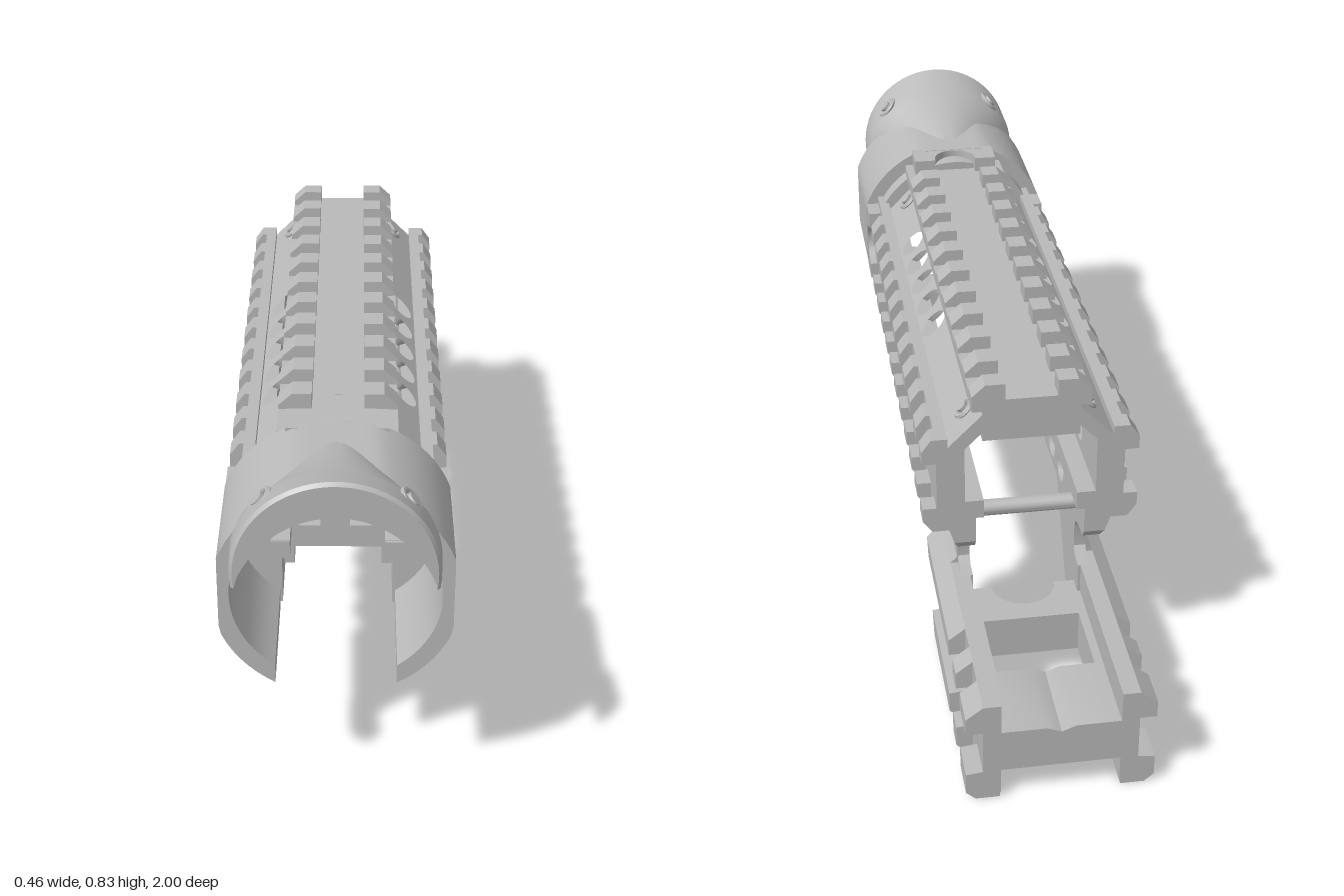
import * as THREE from 'three';
import { toCreasedNormals } from 'three/addons/utils/BufferGeometryUtils.js';

const metal = new THREE.MeshStandardMaterial({ color: 0xb9b9b9 });
metal.name = 'grey metal';

const PITCH = 0.107, FRONT = 0.635, REAR = -0.61;
const series = (n, start, step) => Array.from({ length: n }, (_, i) => start + i * step);

function extrude(points, depth, holes = []) {
  const shape = new THREE.Shape(points.map(([x, y]) => new THREE.Vector2(x, y)));
  for (const [x, y, r] of holes) {
    const hole = new THREE.Path();
    hole.absarc(x, y, r, 0, Math.PI * 2, true);
    shape.holes.push(hole);
  }
  return new THREE.ExtrudeGeometry(shape, { depth, bevelEnabled: false, curveSegments: 12 });
}

// Plate drawn in (z, y) and given thickness from x0 to x1
function sidePlate(points, holes, x0, x1) {
  return extrude(points.map(([z, y]) => [-z, y]), x1 - x0, holes.map(([z, y, r]) => [-z, y, r]))
    .rotateY(Math.PI / 2).translate(x0, 0, 0);
}

// Profile drawn in (x, y) running from z0 to z1
const bar = (points, z0, z1) => extrude(points, z1 - z0).translate(0, 0, z0);
const rect = (a0, b0, a1, b1) => [[a0, b0], [a1, b0], [a1, b1], [a0, b1]];

// Mirror across x = 0 and restore the corner order
function mirrored(geometry) {
  const g = geometry.index ? geometry.toNonIndexed() : geometry.clone();
  g.scale(-1, 1, 1);
  const p = g.attributes.position;
  const a = new THREE.Vector3(), b = new THREE.Vector3();
  for (let i = 0; i < p.count; i += 3) {
    a.fromBufferAttribute(p, i + 1);
    b.fromBufferAttribute(p, i + 2);
    p.setXYZ(i + 1, b.x, b.y, b.z);
    p.setXYZ(i + 2, a.x, a.y, a.z);
  }
  return g;
}

function add(group, name, geometry) {
  const mesh = new THREE.Mesh(toCreasedNormals(geometry, 0.5), metal);
  mesh.name = name;
  group.add(mesh);
}

function addPair(group, name, geometry) {
  add(group, name + 'Left', geometry);
  add(group, name + 'Right', mirrored(geometry));
}

// Toothed rail facing +x, its base surface at x = 0
function railParts(half, neckDepth, toothHeight, holeZ) {
  const holes = holeZ.map(z => [z, 0, 0.024]);
  const parts = [
    ['RailBase', sidePlate(rect(REAR, -half, FRONT, half), holes, -0.025, 0)],
    ['RailNeck', sidePlate(rect(REAR, -half + 0.022, FRONT, half - 0.022), holes, -neckDepth, -0.025)],
  ];
  for (const s of [1, -1]) {
    let profile = [[-0.004, 0.055], [toothHeight, 0.055], [toothHeight, half - 0.028], [0.01, half], [-0.004, half]];
    profile = profile.map(([x, y]) => [x, y * s]);
    for (const z of series(11, 0.479, -PITCH)) {
      parts.push(['RailTooth', bar(profile, Math.max(z - 0.027, REAR), z + 0.027)]);
    }
  }
  // End block with the rounded end of the channel
  const end = [[0.565, half - 0.02], [0.565, 0.052]];
  for (const a of series(11, Math.PI / 2, -Math.PI / 10)) end.push([0.575 + 0.052 * Math.cos(a), 0.052 * Math.sin(a)]);
  end.push([0.565, -0.052], [0.565, 0.02 - half], [0.645, 0.02 - half], [0.645, half - 0.02]);
  parts.push(['RailEnd', sidePlate(end, [], -0.004, toothHeight)]);
  return parts;
}

// Open collar outline: arc of radius r with a vertical-sided gap at the bottom
function collarArc(r) {
  const gap = Math.asin(0.122 / r), n = 56;
  return series(n + 1, 0, 1).map(i => {
    const a = -Math.PI / 2 + gap + (i / n) * (Math.PI * 2 - 2 * gap);
    return [THREE.MathUtils.clamp(r * Math.cos(a), -0.232, 0.232), Math.min(0.51 + r * Math.sin(a), 0.742)];
  });
}

// Flared hood: closed crescents lofted along z
function hoodGeometry() {
  // z, outer half width, outer top, inner radius, inner rise
  const sections = [
    [1.0, 0.194, 0.828, 0.208, 0.25], [0.992, 0.2, 0.834, 0.21, 0.248], [0.93, 0.203, 0.811, 0.21, 0.224],
    [0.9, 0.198, 0.8, 0.21, 0.212], [0.88, 0.183, 0.793, 0.226, 0.226], [0.8, 0.138, 0.768, 0.228, 0.228], [0.68, 0.08, 0.737, 0.228, 0.226],
  ];
  const n = 36, ring = 2 * (n + 1), pos = [], idx = [];
  for (const [z, rx, top, ir, ik] of sections) {
    for (let i = 0; i <= n; i++) {
      const a = -0.15 + (i / n) * (Math.PI + 0.3);
      pos.push(rx * Math.cos(a), 0.63 + (top - 0.63) * Math.sin(a), z);
    }
    for (let i = n; i >= 0; i--) {
      const a = 0.42 + (i / n) * (Math.PI - 0.84);
      pos.push(ir * Math.cos(a), 0.51 + ik * Math.sin(a), z);
    }
  }
  for (let s = 0; s < sections.length - 1; s++) {
    for (let i = 0; i < ring; i++) {
      const a = s * ring + i, b = s * ring + (i + 1) % ring;
      idx.push(a, a + ring, b, b, a + ring, b + ring);
    }
  }
  for (let i = 0; i < n; i++) {
    const p = ring - 1 - i;
    idx.push(i, i + 1, p, i + 1, p - 1, p);
  }
  const g = new THREE.BufferGeometry();
  g.setAttribute('position', new THREE.Float32BufferAttribute(pos, 3));
  g.setIndex(idx);
  return g;
}

// Screw with a raised rim, facing +x and turned by angle around z
function addScrew(group, name, x, y, z, angle, r) {
  const place = g => g.rotateZ(angle).translate(x, y, z);
  addPair(group, name + 'Rim', place(new THREE.TorusGeometry(r, 0.006, 6, 20).rotateY(Math.PI / 2)));
  addPair(group, name, place(new THREE.CylinderGeometry(r * 0.6, r * 0.6, 0.02, 16).rotateZ(Math.PI / 2)));
}

export function createModel() {
  const model = new THREE.Group();
  model.name = 'railedHandguard';

  // Front collar, hood and bulkhead
  add(model, 'collar', bar([...collarArc(0.247), ...collarArc(0.21).reverse()], 0.63, 0.895));
  add(model, 'hood', hoodGeometry());
  add(model, 'hoodTab', bar(rect(-0.027, 0.73, 0.027, 0.782), 0.9, 0.985));
  addScrew(model, 'hoodScrew', 0.142, 0.753, 0.93, 0.7, 0.026);
  const opening = [[-0.12, 0.42], [-0.1, 0.42], [-0.1, 0.462], [-0.14, 0.462], [-0.14, 0.585], [-0.05, 0.585], [-0.025, 0.61],
    [0.025, 0.61], [0.05, 0.585], [0.14, 0.585], [0.14, 0.462], [0.1, 0.462], [0.1, 0.42], [0.12, 0.42]];
  add(model, 'bulkhead', bar([...collarArc(0.215), ...opening], 0.585, 0.64));
  add(model, 'bulkheadLip', bar(rect(-0.037, 0.643, 0.037, 0.655), 0.63, 0.66));

  // Top and side rails
  for (const [name, g] of railParts(0.125, 0.095, 0.036, [0.42, 0])) {
    add(model, 'top' + name, g.rotateZ(Math.PI / 2).translate(0, 0.705, 0));
  }
  for (const [name, g] of railParts(0.113, 0.06, 0.03, [0.43, 0, -0.43])) {
    addPair(model, 'side' + name, g.translate(0.2, 0.507, 0));
  }
  addPair(model, 'innerLedge', bar(rect(0.1, 0.42, 0.15, 0.463), REAR, FRONT));

  // Slanted upper panels with large vent holes
  const vents = series(5, 0.305, -PITCH).map(z => [z, -0.01, 0.037]);
  addPair(model, 'upperPanel', sidePlate(rect(REAR, -0.06, FRONT, 0.06), vents, -0.03, 0)
    .rotateZ(Math.PI / 4).translate(0.137, 0.638, 0));
  for (const z of [0.53, -0.535]) addScrew(model, 'upperScrew', 0.131, 0.648, z, Math.PI / 4, 0.021);

  // Lower walls with vents, continuing into the rear arms
  const wall = [[FRONT, 0.305], [-0.3, 0.305], [-0.485, 0.01], [-0.56, 0.01], [-0.56, 0.235], [-0.525, 0.238], [-0.51, 0.255],
    [-0.51, 0.305], [-0.52, 0.328], [-0.545, 0.338], [-0.595, 0.34], [REAR, 0.36], [REAR, 0.425], [FRONT, 0.425]];
  const lower = sidePlate(wall, series(7, 0.305, -PITCH).map(z => [z, 0.355, 0.037]), 0.117, 0.143);
  const p = lower.attributes.position;
  for (let i = 0; i < p.count; i++) {
    if (p.getX(i) > 0.13) p.setX(i, p.getX(i) + Math.max(0, p.getY(i) - 0.305) * 0.35);
  }
  addPair(model, 'lowerWall', lower);
  for (const z of [0.47, -0.53]) addScrew(model, 'lowerScrew', 0.173, 0.392, z, -0.4, 0.018);

  // Cross members between the walls
  add(model, 'frontCrossBar', bar(rect(-0.12, 0.376, 0.12, 0.43), 0.42, 0.53));
  addPair(model, 'crossBarLug', bar(rect(0.095, 0.325, 0.12, 0.395), 0.43, 0.52));
  add(model, 'rearPin', new THREE.CylinderGeometry(0.018, 0.018, 0.26, 16).rotateZ(Math.PI / 2).translate(0, 0.39, -0.53));

  // Lower rear mount: rails whose front ends follow the slope of the arms
  const core = rect(0.123, 0.01, 0.16, 0.235);
  const lowFlange = [[0.125, 0], [0.175, 0], [0.195, 0.018], [0.195, 0.065], [0.155, 0.07], [0.125, 0.07]];
  const highFlange = [[0.125, 0.17], [0.195, 0.17], [0.195, 0.208], [0.16, 0.235], [0.125, 0.235]];
  const sloped = (profile) => {
    const g = bar(profile, -0.745, -0.485), q = g.attributes.position;
    for (let i = 0; i < q.count; i++) if (q.getZ(i) > -0.6) q.setZ(i, -0.49 + 0.61 * q.getY(i));
    return g;
  };
  addPair(model, 'mountCoreFront', sloped(core));
  addPair(model, 'mountCoreRear', bar(core, -1, -0.745));
  for (const flange of [lowFlange, highFlange]) {
    addPair(model, 'mountFlange', sloped(flange));
    addPair(model, 'mountTooth', bar(flange, -0.855, -0.805));
    addPair(model, 'mountEndTooth', bar(flange, -1, -0.915));
  }
  // Flare joining the upper flange to the arm
  addPair(model, 'armFlare', bar([[0.125, 0.23], [0.165, 0.23], [0.145, 0.25], [0.143, 0.3], [0.125, 0.3]], -0.508, -0.37));

  // Bridge plates either side of the window, the front one scooped
  const scoop = series(13, -Math.PI, Math.PI / 12).map(a => [0.07 * Math.cos(a), 0.52 - 0.07 * Math.sin(a)]);
  const frontBridge = [[-0.13, 0.52], ...scoop, [0.13, 0.52], [0.13, 0.64], [-0.13, 0.64]];
  add(model, 'frontBridge', extrude(frontBridge, 0.097).rotateX(-Math.PI / 2).translate(0, 0.07, 0));
  add(model, 'rearBridge', bar([[-0.13, 0.07], [0.13, 0.07], [0.13, 0.167], [0.03, 0.167], [0, 0.155], [-0.03, 0.167], [-0.13, 0.167]], -1, -0.812));
  addPair(model, 'windowEdge', bar(rect(0.105, 0.07, 0.13, 0.167), -0.815, -0.64));

  return model;
}
